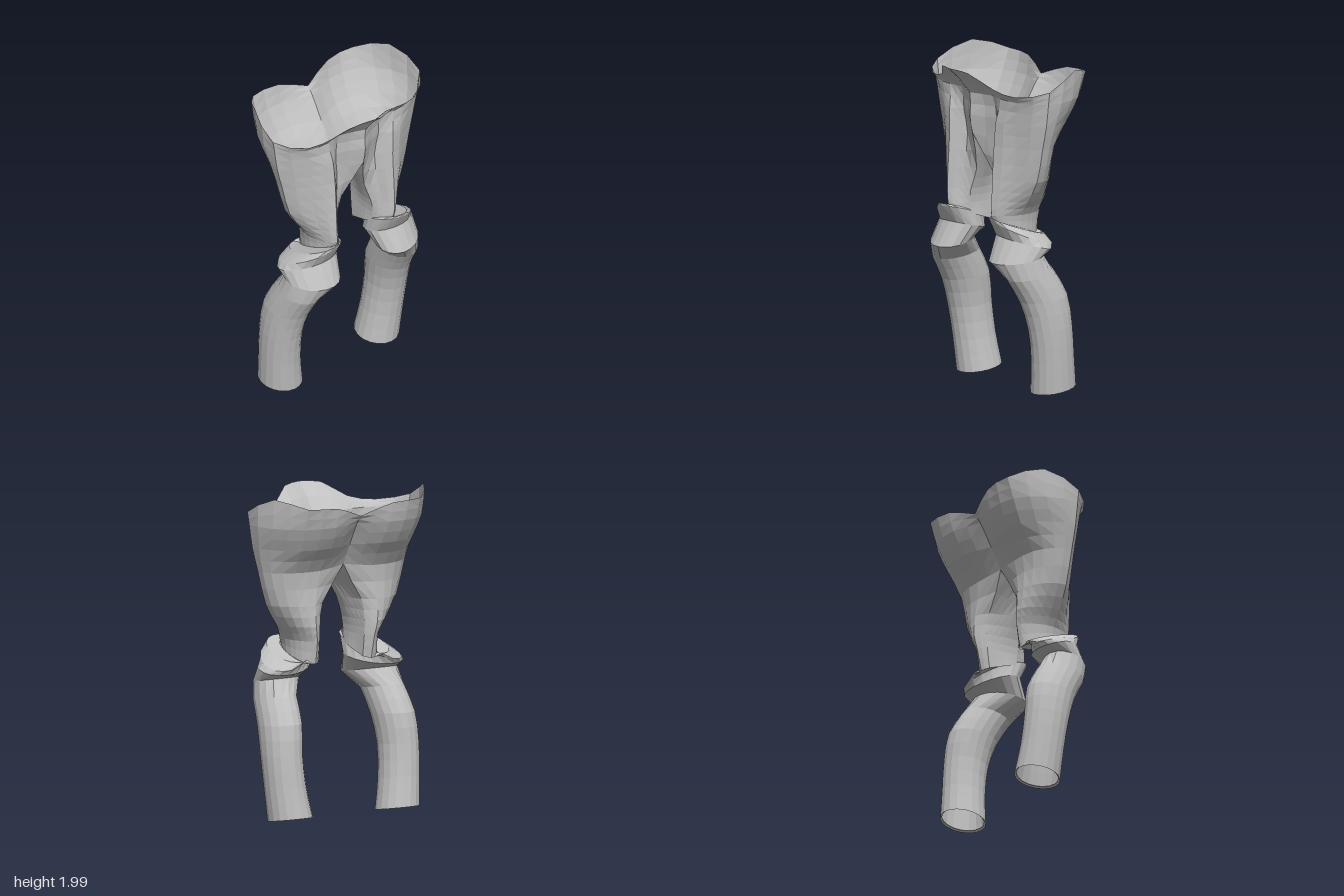
import * as THREE from 'three';

const grey = new THREE.MeshStandardMaterial({ color: 0xc0c0c0, flatShading: true, side: THREE.DoubleSide });
grey.name = 'plain grey';

const V = (x, y, z) => new THREE.Vector3(x, y, z);

// points on a smooth curve through the given points
const smooth = (pts, perSpan) => new THREE.CatmullRomCurve3(pts).getPoints((pts.length - 1) * perSpan);

// add smoothed rows between the cross-sections
function refine(rows, perSpan) {
  const columns = rows[0].map((_, j) => smooth(rows.map(r => r[j]), perSpan));
  return columns[0].map((_, i) => columns.map(c => c[i]));
}

// skin a list of cross-sections, ordered from top to bottom
function loft(rows, name) {
  const n = rows[0].length, index = [];
  for (let i = 0; i < rows.length - 1; i++) {
    for (let j = 0; j < n - 1; j++) {
      const a = i * n + j, b = a + 1, d = a + n, c = d + 1;
      index.push(a, d, b, b, d, c);
    }
  }
  let geo = new THREE.BufferGeometry().setFromPoints(rows.flat());
  geo.setIndex(index);
  geo = geo.toNonIndexed();
  geo.computeVertexNormals();
  const mesh = new THREE.Mesh(geo, grey);
  mesh.name = name;
  return mesh;
}

// half sections run x, z from the front centre, around the outside, to the back centre
const section = (y, ...xz) => {
  const pts = [];
  for (let i = 0; i < xz.length; i += 2) pts.push(V(xz[i], y, xz[i + 1]));
  return pts;
};

// wavy waist rim with a flared front flap
const rim = [
  V(0, 1.985, 0.365), V(0.13, 1.975, 0.325), V(0.26, 1.89, 0.235), V(0.43, 1.86, 0.185), V(0.585, 1.9, 0.04),
  V(0.535, 2.0, -0.18), V(0.4, 1.95, -0.355), V(0.2, 1.94, -0.36), V(0, 1.87, -0.31),
];

// the front centre bulges forward, with a groove between it and the ridge of the thigh
function pelvisSections() {
  const waist = section(1.82, 0, 0.215, 0.16, 0.16, 0.26, 0.175, 0.42, 0.155, 0.572, 0.04, 0.535, -0.16, 0.4, -0.31, 0.19, -0.335, 0, -0.27);
  const hip = section(1.68, 0, 0.213, 0.17, 0.138, 0.24, 0.193, 0.38, 0.15, 0.55, 0.04, 0.51, -0.1, 0.38, -0.24, 0.18, -0.26, 0, -0.19);
  const crotch = section(1.53, 0, 0.195, 0.15, 0.125, 0.23, 0.2, 0.37, 0.14, 0.51, 0.04, 0.48, -0.06, 0.36, -0.14, 0.19, -0.155, 0, -0.12);
  crotch[0].y = 1.57;
  crotch[8].y = 1.55;
  return [rim, waist, hip, crotch];
}

function thighSections() {
  const thigh = [
    section(1.32, 0.09, 0.1, 0.165, 0.14, 0.23, 0.212, 0.34, 0.14, 0.452, 0.04, 0.42, -0.06, 0.33, -0.13, 0.22, -0.152, 0.14, -0.105),
    section(1.19, 0.135, 0.11, 0.18, 0.16, 0.23, 0.217, 0.3, 0.155, 0.37, 0.05, 0.345, -0.05, 0.29, -0.13, 0.22, -0.16, 0.16, -0.11),
    section(1.1, 0.148, 0.11, 0.175, 0.165, 0.225, 0.215, 0.275, 0.165, 0.31, 0.05, 0.295, -0.04, 0.255, -0.11, 0.205, -0.148, 0.16, -0.105),
    section(1.0, 0.146, 0.09, 0.17, 0.16, 0.22, 0.2, 0.27, 0.16, 0.3, 0.05, 0.285, -0.04, 0.25, -0.1, 0.2, -0.12, 0.158, -0.09),
  ];
  // the lower edge slants down to the back of the knee
  thigh[3].forEach(p => { p.y += p.z * 0.35; });
  return thigh;
}

// inner thigh control points between the back centre and front centre of each section
const innerX = [0, 0.09, 0.135, 0.147, 0.142];
function innerSections(sections) {
  return sections.map((s, i) => {
    const front = s[0], back = s[s.length - 1];
    const mid = (x, t) => V(x, THREE.MathUtils.lerp(back.y, front.y, t) - (i === 0 ? 0.05 : 0), THREE.MathUtils.lerp(back.z, front.z, t));
    return [back, mid((innerX[i] + back.x) / 2, 0.35), mid(innerX[i], 0.7), front];
  });
}

// lower leg rings: y, centre x, centre z, radius x, radius z, slope along z, slope along x, backward sweep along x
const shin = [
  [0.75, 0.385, 0.045, 0.125, 0.15, -0.17, 0, 0],
  [0.6, 0.405, -0.04, 0.128, 0.155, -0.1, 0, 0],
  [0.42, 0.418, -0.08, 0.123, 0.14, -0.1, 0, 0],
  [0.22, 0.408, -0.105, 0.125, 0.134, -0.12, 0, 0],
  [0.03, 0.385, -0.125, 0.135, 0.14, -0.17, 0, 0],
];
const knee = [
  [1.015, 0.224, 0.04, 0.077, 0.16, 0.35, 0, 0],
  [1.035, 0.275, 0.062, 0.12, 0.175, 0.32, -0.12, 0.1],
  [1.005, 0.31, 0.06, 0.165, 0.165, 0.34, -0.2, 0.3],
  [0.94, 0.32, 0.045, 0.182, 0.135, 0.25, -0.05, 0.15],
  [0.85, 0.333, 0.11, 0.16, 0.14, -0.18, 0, 0.2],
  shin[0],
];
function ring([y, cx, cz, rx, rz, slopeZ, slopeX, sweep]) {
  const pts = [], sides = 18;
  for (let i = 0; i <= sides; i++) {
    const t = (i / sides) * Math.PI * 2, dx = rx * Math.sin(t), dz = rz * Math.cos(t) - dx * sweep;
    pts.push(V(cx + dx, y + dz * slopeZ + dx * slopeX, cz + dz));
  }
  return pts;
}

function createSide(name) {
  const side = new THREE.Group();
  side.name = name;
  const pelvis = pelvisSections(), thigh = thighSections();
  const outer = refine([...pelvis, ...thigh].map(s => smooth(s, 2)), 2);
  side.add(loft(outer, 'hipAndOuterThigh'));

  // the inner thigh shares its edges with the outer thigh
  const inner = refine(innerSections([pelvis[3], ...thigh]).map(s => smooth(s, 2)), 2);
  const firstRow = outer.length - inner.length;
  inner.forEach((row, i) => {
    row[0] = outer[firstRow + i].at(-1);
    row[row.length - 1] = outer[firstRow + i][0];
  });
  side.add(loft(inner, 'innerThigh'));

  side.add(loft(knee.map(ring), 'knee'));
  side.add(loft(refine(shin.map(ring), 2), 'shin'));

  // thin lip around the open ankle
  const last = shin[shin.length - 1], lip = [...last];
  lip[3] -= 0.012;
  lip[4] -= 0.012;
  lip[0] += 0.01;
  side.add(loft([ring(last), ring(lip)], 'ankleLip'));
  return side;
}

export function createModel() {
  const model = new THREE.Group();
  model.name = 'legs';
  const left = createSide('leftLeg');
  const right = createSide('rightLeg');
  right.scale.x = -1;
  model.add(left, right);
  return model;
}
